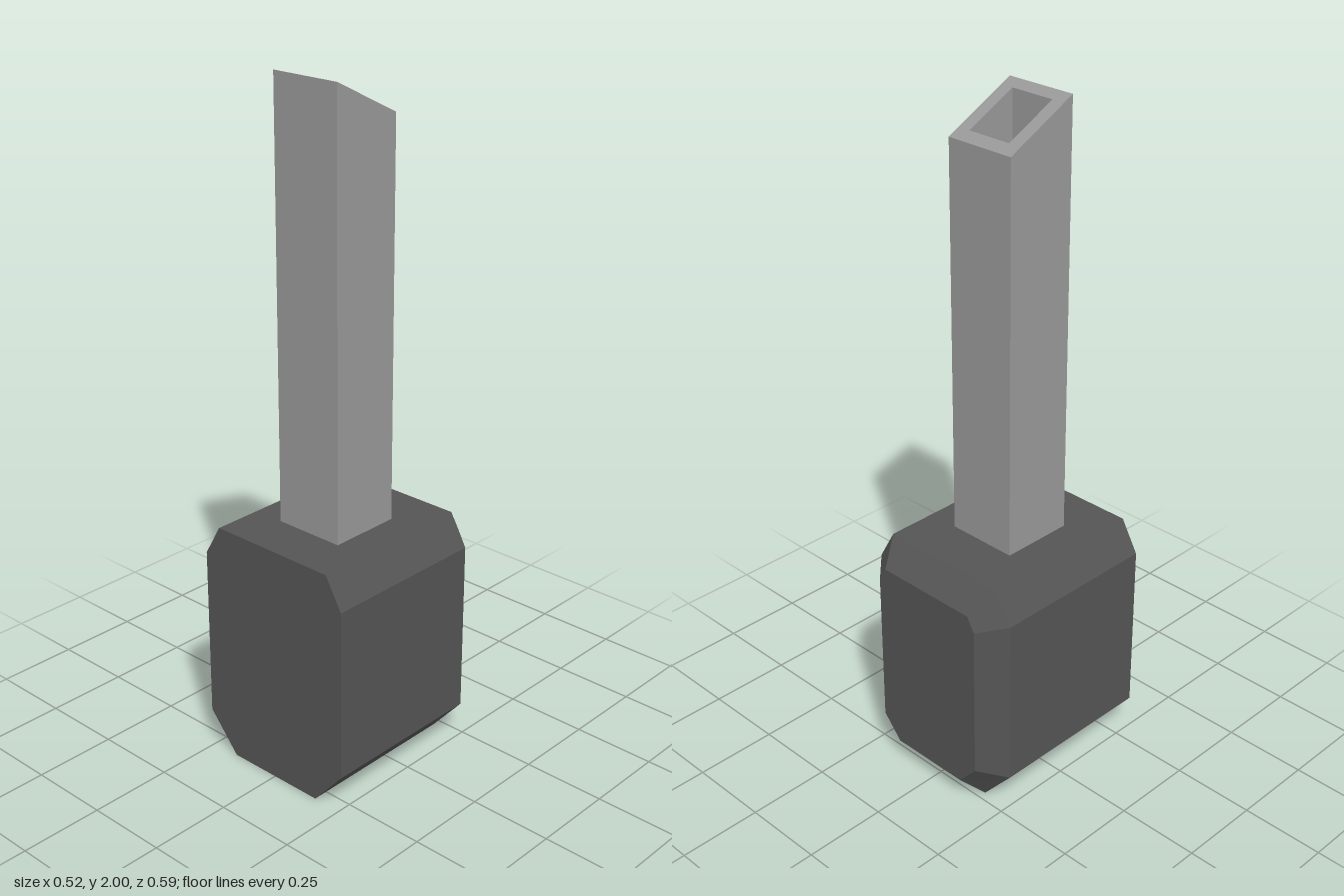
import * as THREE from 'three';

const material = (color) => new THREE.MeshStandardMaterial({ color, flatShading: true });

// Right half of the block outline, bottom to top; mirrored to a full octagon
function outline(half, z) {
  const left = half.map(([x, y]) => [-x, y]).reverse();
  return [...half, ...left].map(([x, y]) => new THREE.Vector3(x, y, z));
}

// Closed solid skinned over equal-sized rings, ordered front to back
function loft(rings) {
  const positions = [];
  const tri = (...points) => points.forEach((p) => positions.push(p.x, p.y, p.z));
  const n = rings[0].length;
  for (let r = 0; r < rings.length - 1; r++) {
    const front = rings[r], back = rings[r + 1];
    for (let i = 0; i < n; i++) {
      const j = (i + 1) % n;
      tri(front[i], back[i], back[j]);
      tri(front[i], back[j], front[j]);
    }
  }
  const first = rings[0], last = rings[rings.length - 1];
  for (let i = 1; i < n - 1; i++) {
    tri(first[0], first[i], first[i + 1]);
    tri(last[0], last[i + 1], last[i]);
  }
  const geometry = new THREE.BufferGeometry();
  geometry.setAttribute('position', new THREE.Float32BufferAttribute(positions, 3));
  geometry.computeVertexNormals();
  return geometry;
}

// Rectangle in plan; shape y is -z
function rectangle(path, x, zBack, zFront) {
  path.moveTo(-x, -zFront);
  path.lineTo(x, -zFront);
  path.lineTo(x, -zBack);
  path.lineTo(-x, -zBack);
  path.closePath();
  return path;
}

export function createModel() {
  const group = new THREE.Group();

  // Octagonal block, bevelled all round at the back only
  const full = [[0.16, 0], [0.26, 0.115], [0.26, 0.635], [0.205, 0.73]];
  const inset = [[0.127, 0.07], [0.19, 0.14], [0.19, 0.616], [0.165, 0.66]];
  const body = new THREE.Mesh(
    loft([outline(full, 0.295), outline(full, -0.225), outline(inset, -0.295)]),
    material(0x555555)
  );
  body.name = 'body';
  group.add(body);

  // Hollow square tube, open down to the block
  const base = 0.73;
  const shape = rectangle(new THREE.Shape(), 0.11, -0.075, 0.147);
  shape.holes.push(rectangle(new THREE.Path(), 0.07, -0.04, 0.115));
  const geometry = new THREE.ExtrudeGeometry(shape, { depth: 1, bevelEnabled: false });
  geometry.rotateX(-Math.PI / 2);

  // Slanted cut at the tip, highest at the front
  const p = geometry.attributes.position;
  for (let i = 0; i < p.count; i++) {
    const tip = THREE.MathUtils.mapLinear(p.getZ(i), -0.075, 0.147, 1.89, 2);
    p.setY(i, p.getY(i) > 0.5 ? tip : base);
  }
  geometry.computeVertexNormals();
  const tube = new THREE.Mesh(geometry, material(0x999999));
  tube.name = 'tube';
  group.add(tube);

  return group;
}
